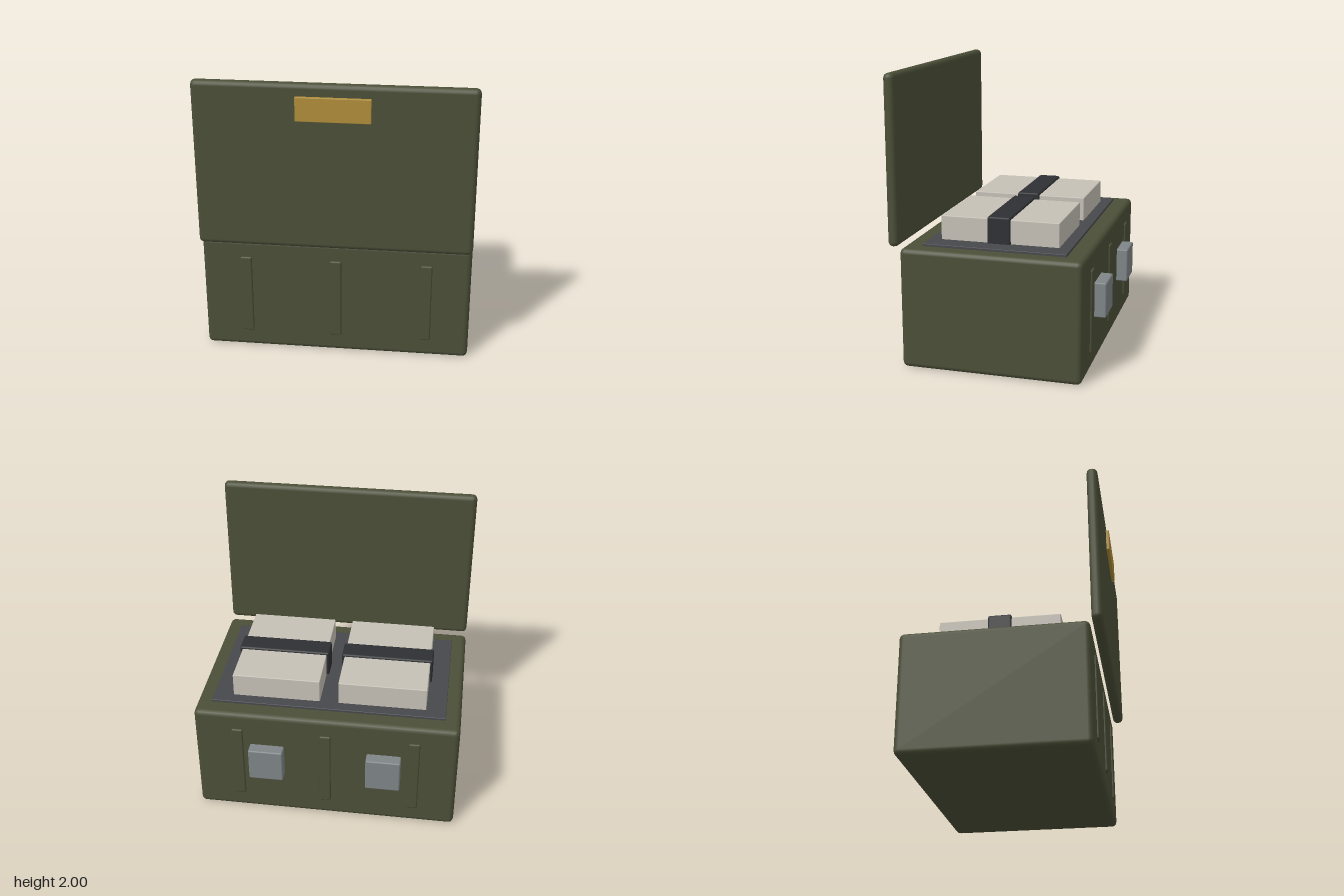
import * as THREE from 'three';
import { RoundedBoxGeometry } from 'three/addons/geometries/RoundedBoxGeometry.js';

const paint = (color) => new THREE.MeshStandardMaterial({ color });

export function createModel() {
  const model = new THREE.Group();
  const green = paint(0x4b4f37);
  const foam = paint(0x47484c);
  const cream = paint(0xc6c0b6);
  const black = paint(0x2f3033);
  const brass = paint(0xb08d3a);
  const steel = paint(0x7f8588);

  // Bevelled box spanning the given ranges on each axis
  function box(name, material, [x0, x1], [y0, y1], [z0, z1], bevel, segments = 1) {
    const geometry = new RoundedBoxGeometry(x1 - x0, y1 - y0, z1 - z0, segments, bevel);
    const mesh = new THREE.Mesh(geometry, material);
    mesh.name = name;
    mesh.position.set((x0 + x1) / 2, (y0 + y1) / 2, (z0 + z1) / 2);
    model.add(mesh);
    return mesh;
  }

  // Case and upright lid
  box('caseBody', green, [-0.93, 0.93], [0, 0.838], [-0.635, 0.612], 0.035, 2);
  box('lid', green, [-0.93, 0.93], [0.843, 2], [0.62, 0.695], 0.034, 2);
  box('namePlate', brass, [-0.247, 0.245], [1.755, 1.918], [0.685, 0.718], 0.005);

  // Raised ribs on the front and back walls
  for (const x of [-0.625, 0, 0.625]) {
    box('frontRib', green, [x - 0.04, x + 0.04], [0.13, 0.712], [0.59, 0.625], 0.01);
    box('backRib', green, [x - 0.04, x + 0.04], [0.13, 0.712], [-0.648, -0.61], 0.01);
  }

  // Foam lining on top of the case
  box('foamInsert', foam, [-0.825, 0.825], [0.78, 0.855], [-0.507, 0.481], 0.004);

  for (const side of [-1, 1]) {
    // Packs, each held by a dark strap
    const cx = side * 0.375;
    box('pack', cream, [cx - 0.31, cx + 0.31], [0.8, 1.022], [-0.426, 0.4], 0.006);
    box('strap', black, [cx - 0.328, cx + 0.328], [0.8, 1.038], [-0.091, 0.069], 0.012);

    // Latches on the back wall
    const lx = side * 0.415;
    box('latch', steel, [lx - 0.122, lx + 0.122], [0.34, 0.587], [-0.717, -0.62], 0.01);
  }

  return model;
}
